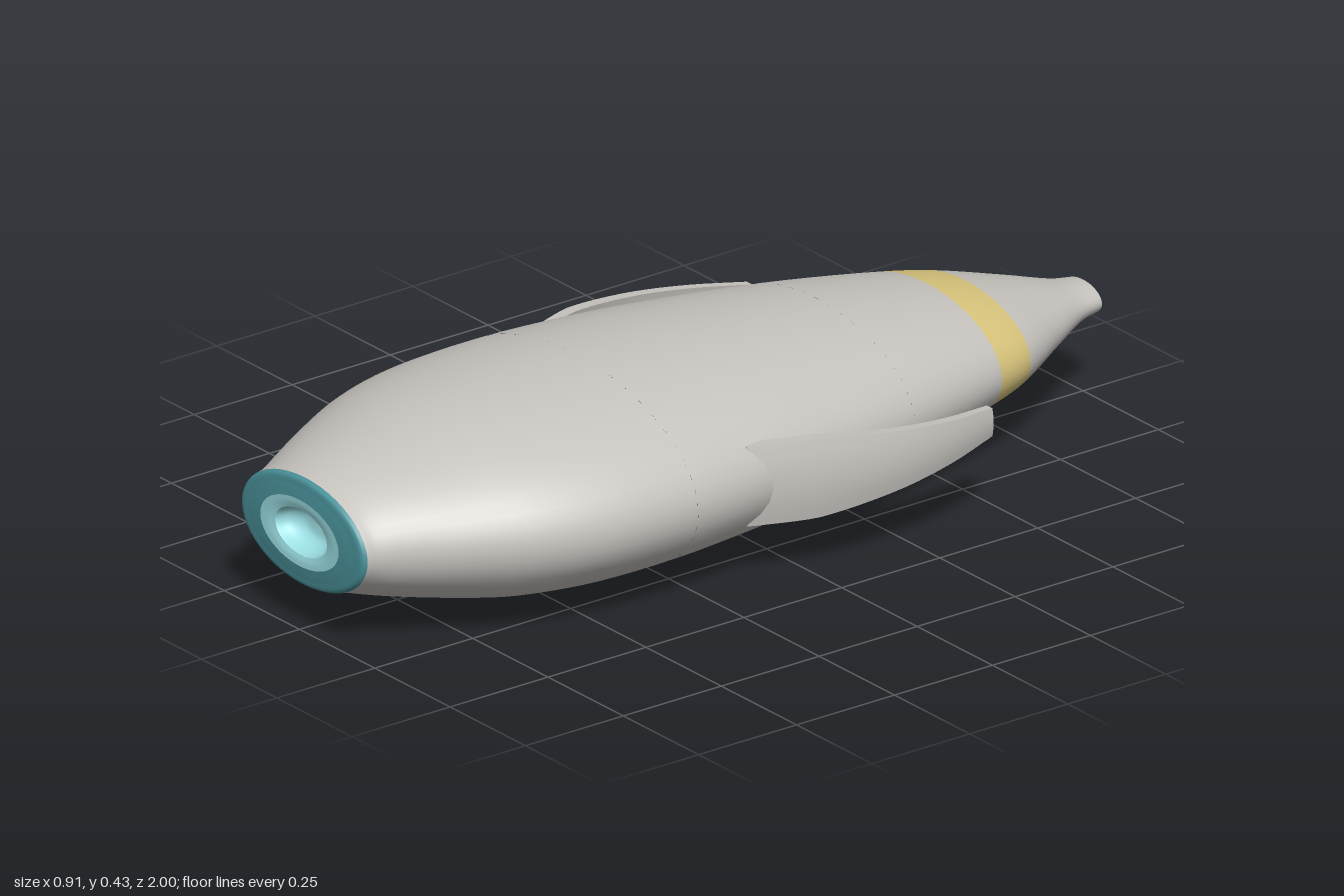
import * as THREE from 'three';
import { ParametricGeometry } from 'three/addons/geometries/ParametricGeometry.js';

const CY = 0.217; // height of the hull axis

const mat = (name, color) => {
  const m = new THREE.MeshStandardMaterial({ color });
  m.name = name;
  return m;
};

// Curve whose points are [z, half width, half height] of elliptical sections
const profile = (pts) => new THREE.CatmullRomCurve3(pts.map((p) => new THREE.Vector3(...p)));

// Skin of elliptical sections between two profile points and two angles (degrees)
function skin(name, curve, material, from = 0, to = curve.points.length - 1, a0 = -180, a1 = 180) {
  const n = curve.points.length - 1;
  const p = new THREE.Vector3();
  const f = (u, v, target) => {
    curve.getPoint((from + (to - from) * v) / n, p);
    const a = THREE.MathUtils.degToRad(a0 + (a1 - a0) * u);
    target.set(p.y * Math.cos(a), CY + p.z * Math.sin(a), p.x);
  };
  const slices = Math.max(4, Math.round((a1 - a0) / 7.5));
  const mesh = new THREE.Mesh(new ParametricGeometry(f, slices, (to - from) * 5), material);
  mesh.name = name;
  return mesh;
}

// Curved, tapering side fin; side is +1 or -1
function fin(name, side, material) {
  const path = new THREE.CatmullRomCurve3([
    [0.365, 0, 0.14], [0.405, 0, 0.04], [0.432, 0, -0.06],
    [0.446, 0, -0.2], [0.434, 0, -0.33], [0.403, 0, -0.455],
  ].map((p) => new THREE.Vector3(...p)));
  const geo = new THREE.BoxGeometry(1, 2, 1, 1, 6, 20);
  const pos = geo.attributes.position;
  for (let i = 0; i < pos.count; i++) {
    const p = path.getPoint(THREE.MathUtils.clamp(0.5 - pos.getZ(i), 0, 1));
    const v = pos.getY(i);
    const half = p.z > 0 ? 0.088 : THREE.MathUtils.mapLinear(p.z, 0, -0.455, 0.088, 0.031);
    const thick = THREE.MathUtils.mapLinear(p.z, 0.14, -0.455, 0.028, 0.018);
    const bow = 0.012 * v * v * (half / 0.088);
    pos.setXYZ(i, side * (p.x - bow) + pos.getX(i) * thick, CY + 0.001 + v * half, p.z);
  }
  geo.computeVertexNormals();
  const mesh = new THREE.Mesh(geo, material);
  mesh.name = name;
  return mesh;
}

export function createModel() {
  const model = new THREE.Group();
  model.name = 'model';

  const grey = mat('hullGrey', 0xc6c3be);
  const yellow = mat('bandYellow', 0xd8c47c);
  const cyan = mat('panelCyan', 0x7abcc2);
  const teal = mat('noseTeal', 0x4a929b);
  const light = mat('glowCyan', 0x9cdfe4);

  // Hull, from tail to nose
  const hull = profile([
    [-1, 0.063, 0.033], [-0.95, 0.075, 0.041], [-0.85, 0.13, 0.07],
    [-0.7, 0.217, 0.11], [-0.6, 0.252, 0.13], [-0.32, 0.327, 0.17],
    [0, 0.385, 0.2], [0.15, 0.403, 0.208], [0.3, 0.414, 0.2125],
    [0.5, 0.41, 0.208], [0.65, 0.375, 0.195], [0.8, 0.303, 0.165],
    [0.9, 0.245, 0.141], [0.96, 0.212, 0.123], [0.985, 0.207, 0.118],
  ]);
  model.add(
    skin('tailCone', hull, grey, 0, 3),
    skin('tailBand', hull, yellow, 3, 4),
    skin('rearHull', hull, grey, 4, 5),
    // The panel on the right side takes the place of part of the skin
    skin('middleHull', hull, grey, 5, 8, -166, 155),
    skin('sidePanel', hull, cyan, 5, 8, 155, 194),
    skin('frontHull', hull, grey, 8, 14),
  );

  // Hollow at the end of the tail
  model.add(skin('tailHollow', profile([
    [-0.96, 0.001, 0.001], [-0.965, 0.03, 0.016], [-0.98, 0.05, 0.026], [-1, 0.063, 0.033],
  ]), grey));

  // Nose: rounded rim, then a bright dished centre
  model.add(
    skin('noseRim', profile([
      [0.985, 0.207, 0.118], [0.993, 0.2, 0.114], [0.997, 0.17, 0.096], [1, 0.13, 0.073],
    ]), teal),
    skin('noseRing', profile([
      [1, 0.13, 0.073], [0.999, 0.108, 0.061], [0.996, 0.086, 0.05],
    ]), light),
    skin('noseDish', profile([
      [0.996, 0.086, 0.05], [0.97, 0.076, 0.044], [0.95, 0.05, 0.029], [0.943, 0.001, 0.001],
    ]), light),
  );

  // Side fins
  model.add(fin('leftFin', 1, grey), fin('rightFin', -1, grey));
  return model;
}
